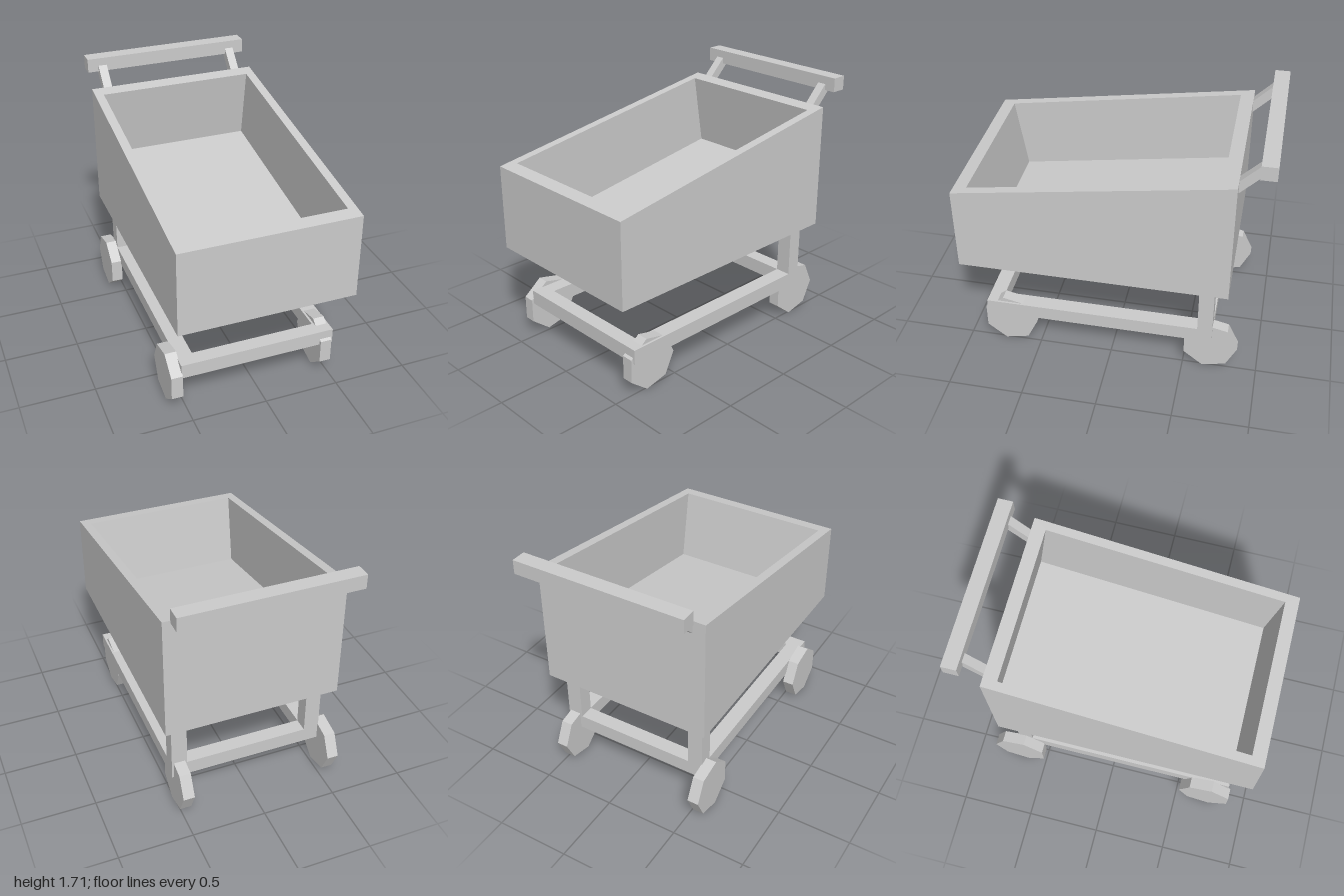
import * as THREE from 'three';

const material = new THREE.MeshStandardMaterial({ color: 0xcccccc, flatShading: true });

function add(parent, name, geometry, x = 0, y = 0, z = 0) {
  const mesh = new THREE.Mesh(geometry, material);
  mesh.name = name;
  mesh.position.set(x, y, z);
  parent.add(mesh);
  return mesh;
}

// Box given by its extents on each axis
function addBox(parent, name, [x0, x1], [y0, y1], [z0, z1]) {
  return add(parent, name, new THREE.BoxGeometry(x1 - x0, y1 - y0, z1 - z0),
    (x0 + x1) / 2, (y0 + y1) / 2, (z0 + z1) / 2);
}

// Four corners, counter-clockwise from above; front and back heights differ
const ring = (halfX, zFront, yFront, zBack, yBack) => [
  [-halfX, yFront, zFront], [halfX, yFront, zFront],
  [halfX, yBack, zBack], [-halfX, yBack, zBack],
];

// Skin a stack of four-corner rings and close both ends
function skinRings(rings) {
  const points = [];
  const quad = (a, b, c, d) => points.push(...a, ...b, ...c, ...a, ...c, ...d);
  for (let r = 0; r < rings.length - 1; r++) {
    for (let i = 0; i < 4; i++) {
      const j = (i + 1) % 4;
      quad(rings[r][i], rings[r][j], rings[r + 1][j], rings[r + 1][i]);
    }
  }
  quad(...rings[rings.length - 1]);
  quad(...[...rings[0]].reverse());
  const geometry = new THREE.BufferGeometry();
  geometry.setAttribute('position', new THREE.Float32BufferAttribute(points, 3));
  geometry.computeVertexNormals();
  return geometry;
}

export function createModel() {
  const cart = new THREE.Group();
  cart.name = 'cart';

  // Basket: sloped rim, cavity sunk square to the rim
  add(cart, 'basket', skinRings([
    ring(0.59, 1, 0.695, -0.78, 0.695),
    ring(0.59, 1, 1.27, -0.78, 1.545),
    ring(0.53, 0.91, 1.284, -0.69, 1.531),
    ring(0.53, 0.833, 0.794, -0.767, 1.041),
  ]));

  // Push handle on two slanted arms
  const handle = new THREE.Group();
  handle.name = 'handle';
  cart.add(handle);
  addBox(handle, 'handleBar', [-0.58, 0.58], [1.62, 1.715], [-1, -0.9]);
  for (const side of [-1, 1]) {
    const arm = add(handle, 'handleArm', new THREE.BoxGeometry(0.06, 0.255, 0.06),
      side * 0.475, 1.55, -0.83);
    arm.rotation.x = -Math.PI / 4;
  }

  // Lower frame with two rear posts
  const frame = new THREE.Group();
  frame.name = 'frame';
  cart.add(frame);
  const railY = [0.24, 0.34];
  for (const side of [-1, 1]) {
    const x = side < 0 ? [-0.525, -0.42] : [0.42, 0.525];
    addBox(frame, 'sideRail', x, railY, [-0.69, 0.86]);
    addBox(frame, 'rearPost', x, [0.34, 0.695], [-0.69, -0.59]);
  }
  addBox(frame, 'frontRail', [-0.42, 0.42], railY, [0.76, 0.86]);
  addBox(frame, 'rearRail', [-0.42, 0.42], railY, [-0.69, -0.59]);

  // Seven-sided wheels, with a corner pointing backwards
  const wheel = new THREE.CylinderGeometry(0.188, 0.188, 0.077, 7, 1, false, Math.PI);
  wheel.rotateZ(Math.PI / 2);
  for (const x of [-0.559, 0.473]) {
    add(cart, 'frontWheel', wheel, x, 0.188, 0.707);
    add(cart, 'rearWheel', wheel, x, 0.188, -0.675);
  }

  return cart;
}
